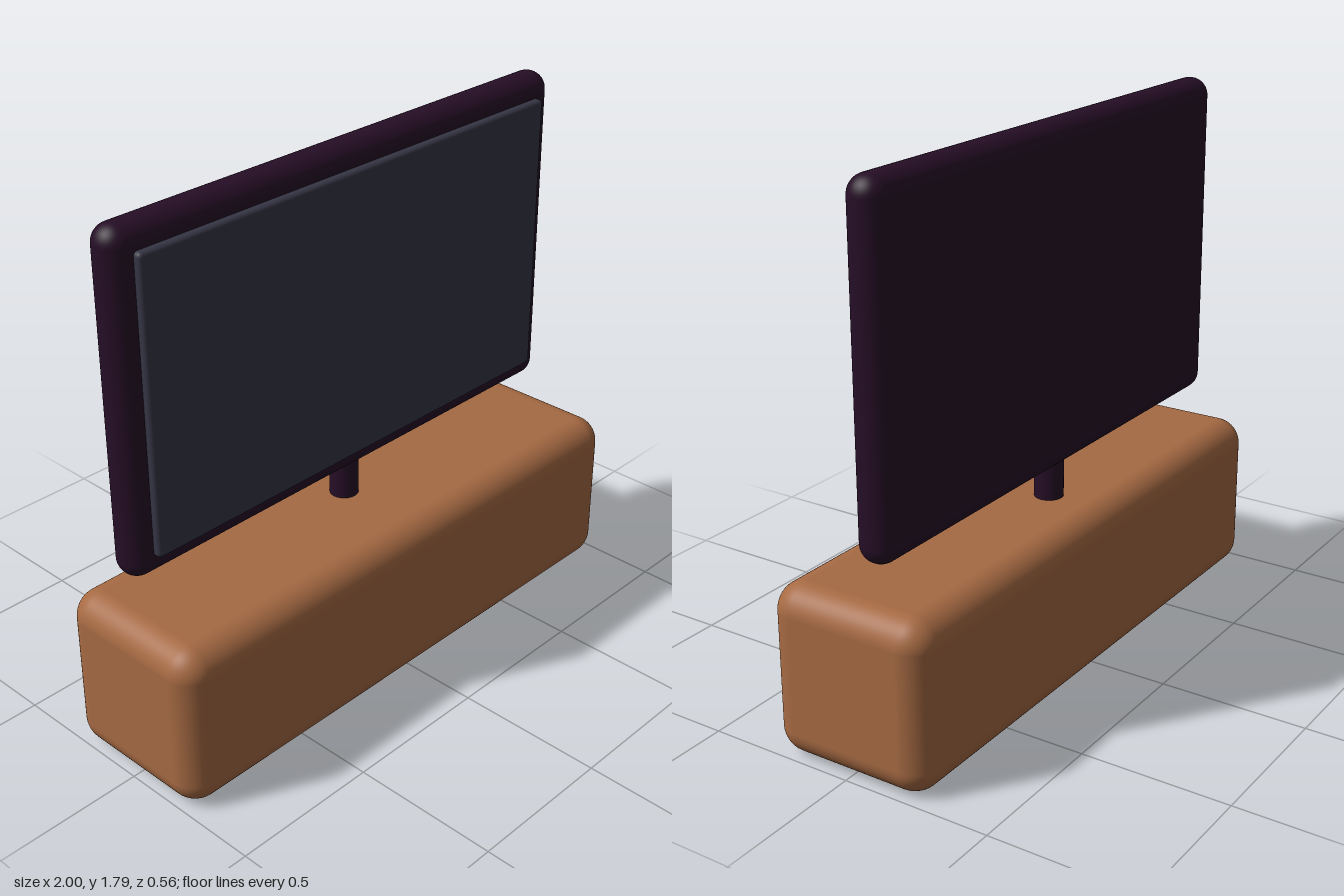
import * as THREE from 'three';
import { RoundedBoxGeometry } from 'three/addons/geometries/RoundedBoxGeometry.js';

const mat = (name, color) => {
  const m = new THREE.MeshStandardMaterial({ color });
  m.name = name;
  return m;
};

export function createModel() {
  const group = new THREE.Group();
  group.name = 'televisionOnCabinet';

  const wood = mat('warm wood', 0xa66a43);
  const casing = mat('dark plum plastic', 0x260e26);
  const glass = mat('slate glass', 0x363545);

  const add = (name, geometry, material, y, z) => {
    const mesh = new THREE.Mesh(geometry, material);
    mesh.name = name;
    mesh.position.set(0, y, z);
    group.add(mesh);
  };
  const rounded = (w, h, d, r) => new RoundedBoxGeometry(w, h, d, 6, r);

  // Low cabinet
  add('cabinet', rounded(2, 0.56, 0.56, 0.09), wood, 0.28, 0);

  // Round post from cabinet top into the casing
  add('standPost', new THREE.CylinderGeometry(0.048, 0.048, 0.24, 32), casing, 0.62, -0.06);

  // Television casing with fully rounded edges
  add('televisionCasing', rounded(1.876, 1.12, 0.124, 0.061), casing, 1.23, -0.062);

  // Screen panel standing slightly proud of the casing
  add('screen', rounded(1.724, 0.97, 0.05, 0.015), glass, 1.23, 0);

  return group;
}
